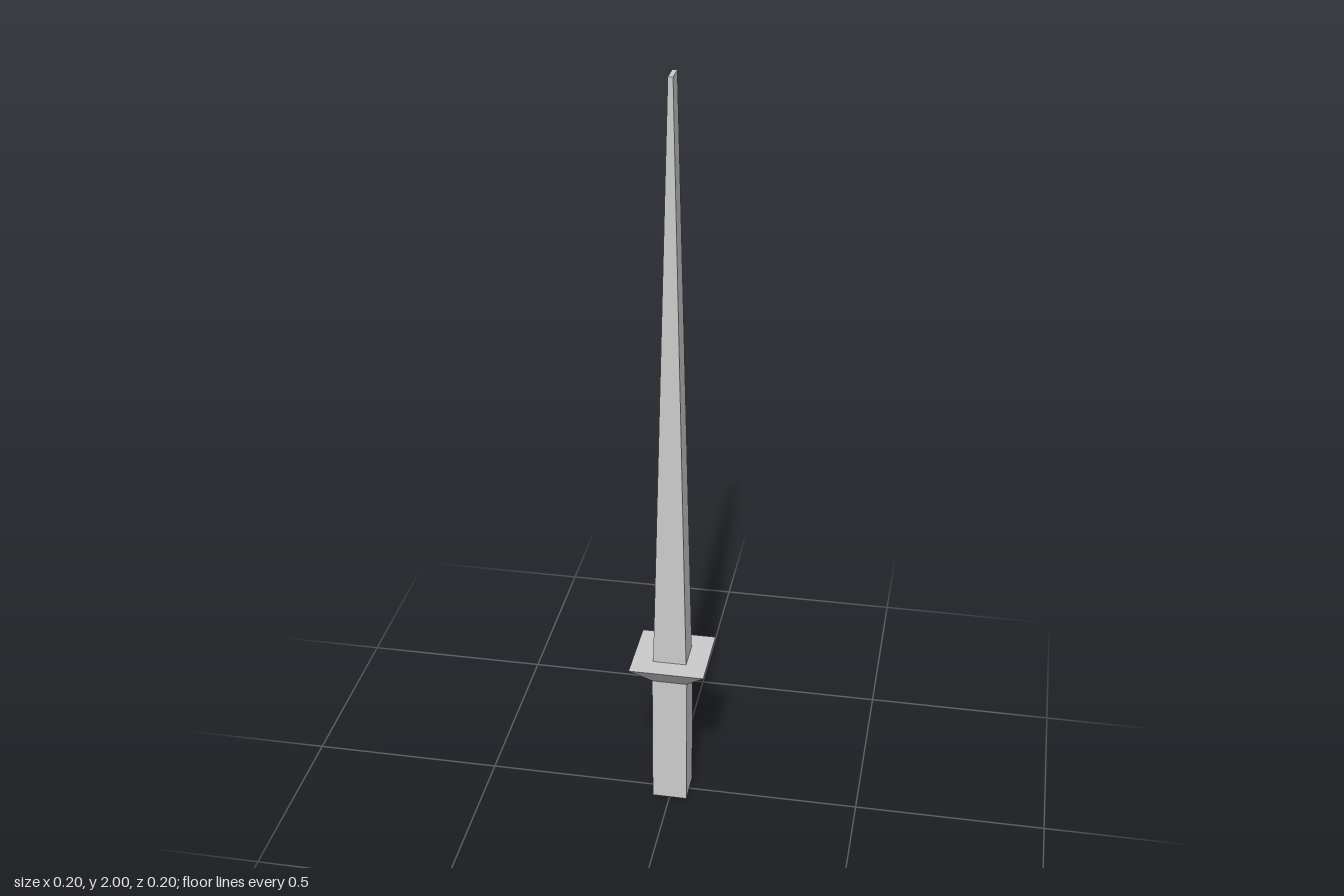
import * as THREE from 'three';

const material = new THREE.MeshStandardMaterial({ color: 0xcccccc, flatShading: true });

// Four-sided block whose half-widths differ between its bottom and top.
function taperedBlock(name, y0, y1, [bx, bz], [tx, tz]) {
  const geometry = new THREE.BoxGeometry(2, y1 - y0, 2);
  const p = geometry.attributes.position;
  for (let i = 0; i < p.count; i++) {
    const top = p.getY(i) > 0;
    p.setX(i, p.getX(i) * (top ? tx : bx));
    p.setZ(i, p.getZ(i) * (top ? tz : bz));
  }
  geometry.translate(0, (y0 + y1) / 2, 0);
  geometry.computeVertexNormals();
  const mesh = new THREE.Mesh(geometry, material);
  mesh.name = name;
  return mesh;
}

export function createModel() {
  const group = new THREE.Group();
  group.name = 'sword';
  const grip = 0.046;
  group.add(
    // Straight square handle
    taperedBlock('grip', 0, 0.375, [grip, grip], [grip, grip]),
    // Guard flaring outwards to a flat top
    taperedBlock('guard', 0.375, 0.435, [grip, grip], [0.098, 0.098]),
    // Long blade narrowing to a chisel tip
    taperedBlock('blade', 0.435, 2, [0.0435, 0.0435], [0.006, 0.0275]),
  );
  return group;
}
